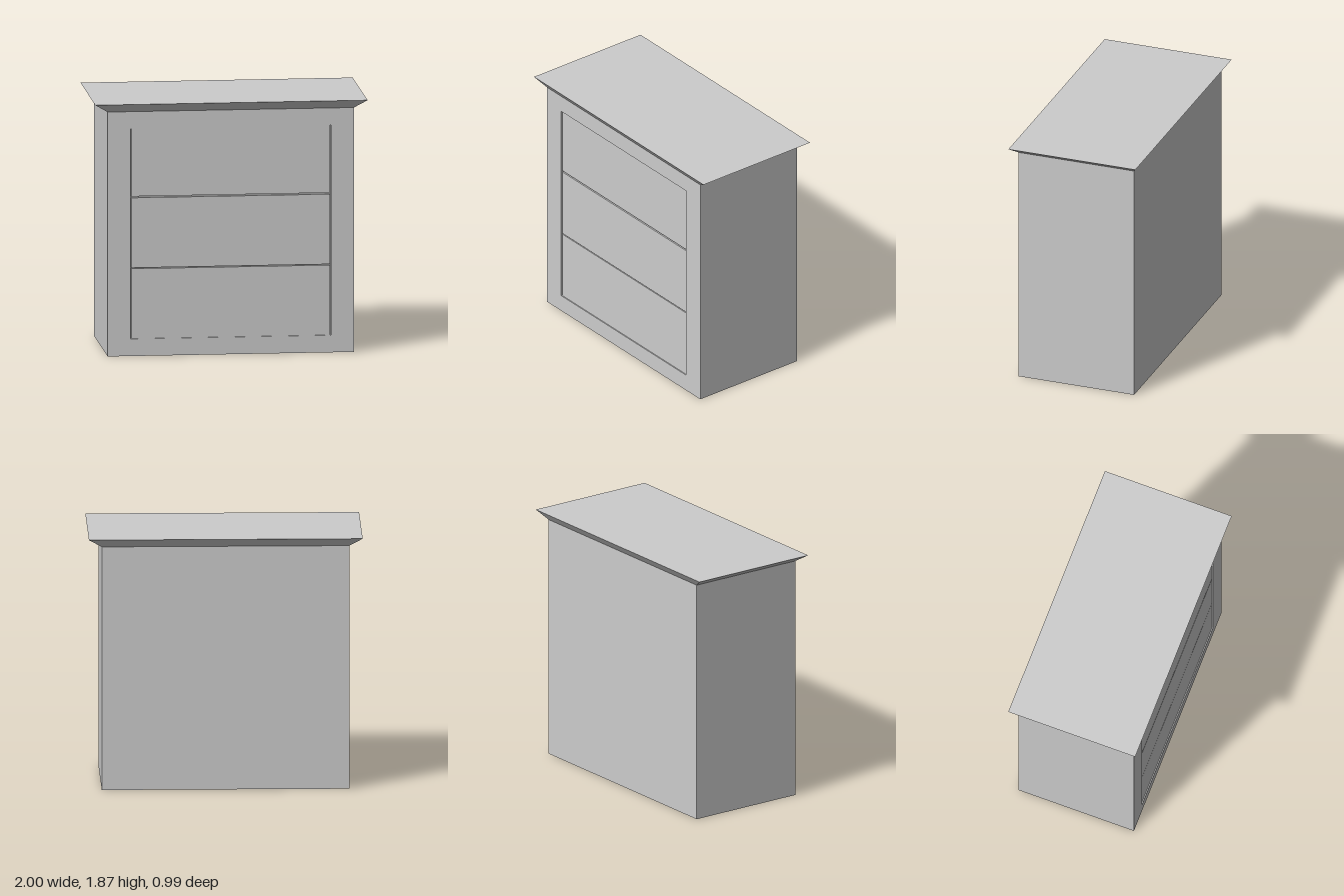
import * as THREE from 'three';

export function createModel() {
  const group = new THREE.Group();
  const grey = new THREE.MeshStandardMaterial({ color: 0xcccccc });
  grey.name = 'lightGrey';

  const W = 1.81, H = 1.81, D = 0.9, T = 0.03; // carcass size and face frame thickness
  const add = (name, geometry, x, y, z) => {
    const mesh = new THREE.Mesh(geometry, grey);
    mesh.name = name;
    mesh.position.set(x, y, z);
    group.add(mesh);
  };
  const rect = (PathType, x, y0, y1) => new PathType([
    new THREE.Vector2(-x, y0), new THREE.Vector2(x, y0),
    new THREE.Vector2(x, y1), new THREE.Vector2(-x, y1),
  ]);

  // Solid carcass behind the face frame
  add('carcass', new THREE.BoxGeometry(W, H, D - T), 0, H / 2, -T / 2);

  // Face frame with one opening for the drawers
  const open = { x: 0.736, y0: 0.127, y1: 1.683 };
  const frame = rect(THREE.Shape, W / 2, 0, H);
  frame.holes.push(rect(THREE.Path, open.x, open.y0, open.y1));
  add('faceFrame', new THREE.ExtrudeGeometry(frame, { depth: T, bevelEnabled: false }), 0, 0, D / 2 - T);

  // Three drawer fronts, set slightly back, with narrow gaps at the sides and between
  const drawerDepth = T - 0.008;
  [[open.y0, 0.645], [0.652, 1.17], [1.181, open.y1]].forEach(([y0, y1], i) => {
    add('drawerFront' + (i + 1), new THREE.BoxGeometry(1.46, y1 - y0, drawerDepth),
      0, (y0 + y1) / 2, D / 2 - T + drawerDepth / 2);
  });

  // Top slab, flaring outwards from the carcass
  const top = new THREE.BoxGeometry(W, 0.06, D).toNonIndexed();
  const p = top.attributes.position;
  for (let i = 0; i < p.count; i++) {
    if (p.getY(i) > 0) {
      p.setX(i, Math.sign(p.getX(i)) * 1.0);
      p.setZ(i, Math.sign(p.getZ(i)) * 0.495);
    }
  }
  top.computeVertexNormals();
  add('flaredTop', top, 0, H + 0.03, 0);

  return group;
}
